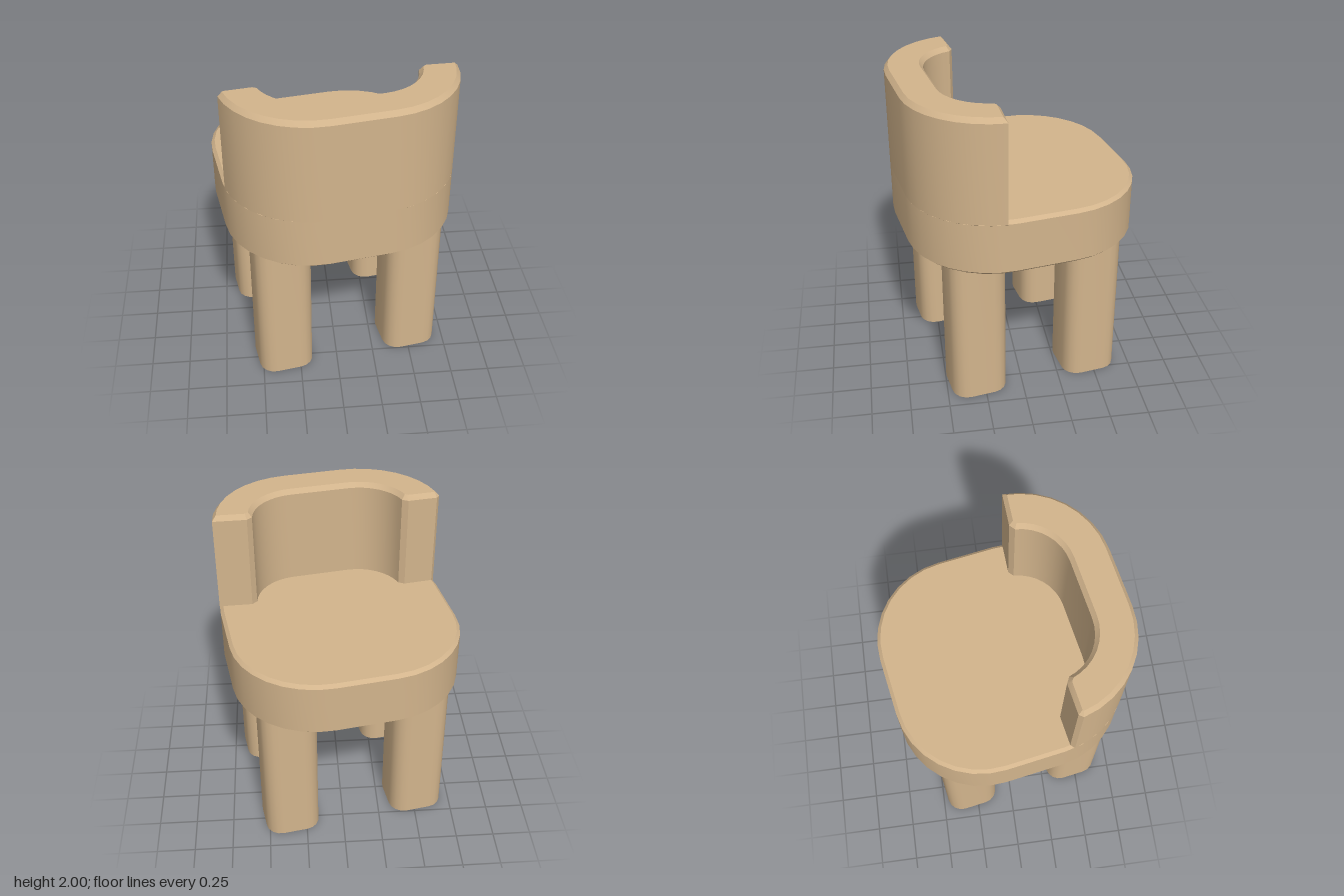
import * as THREE from 'three';
import { toCreasedNormals } from 'three/addons/utils/BufferGeometryUtils.js';

const wood = new THREE.MeshStandardMaterial({ color: 0xd2b48c });

// Plan outline (x, z) raised from y0 to y1, with chamfered rims
function slab(name, shape, y0, y1, rim, inset, curveSegments) {
  const geo = new THREE.ExtrudeGeometry(shape, {
    depth: y1 - y0 - 2 * rim,
    bevelEnabled: rim > 0,
    bevelThickness: rim,
    bevelSize: inset,
    bevelOffset: -inset,
    bevelSegments: 1,
    curveSegments,
  });
  geo.rotateX(Math.PI / 2);
  geo.translate(0, y1 - rim, 0);
  const mesh = new THREE.Mesh(toCreasedNormals(geo, 0.5), wood);
  mesh.name = name;
  return mesh;
}

// Square with rounded corners: s is half the straight edge, r the corner radius
function roundedSquare(s, r) {
  const shape = new THREE.Shape();
  [[s, s], [-s, s], [-s, -s], [s, -s]].forEach(([x, z], i) =>
    shape.absarc(x, z, r, i * Math.PI / 2, (i + 1) * Math.PI / 2, false));
  shape.closePath();
  return shape;
}

const CORNER = 0.19, OUTER = 0.545, INNER = 0.30;

// U-shaped plan that follows the seat's outer edge, with chamfered tips
function backrestShape() {
  const c = CORNER, a = Math.asin(0.06 / OUTER), b = Math.asin(0.06 / INNER), q = Math.PI / 2;
  const shape = new THREE.Shape();
  shape.moveTo(0.71, 0.225);
  shape.absarc(c, c, OUTER, a, q, false);
  shape.absarc(-c, c, OUTER, q, Math.PI - a, false);
  shape.lineTo(-0.71, 0.225);
  shape.lineTo(-0.52, 0.225);
  shape.absarc(-c, c, INNER, Math.PI - b, q, true);
  shape.absarc(c, c, INNER, q, b, true);
  shape.lineTo(0.52, 0.225);
  shape.closePath();
  return shape;
}

export function createModel() {
  const chair = new THREE.Group();
  chair.name = 'chair';

  chair.add(slab('seat', roundedSquare(CORNER, OUTER), 0.985, 1.35, 0.02, 0.022, 4));
  chair.add(slab('backrest', backrestShape(), 1.30, 2, 0.03, 0.025, 4));

  // Four thick legs
  for (const x of [1, -1]) {
    for (const z of [1, -1]) {
      const name = (z > 0 ? 'front' : 'back') + (x > 0 ? 'Left' : 'Right') + 'Leg';
      const leg = slab(name, roundedSquare(0.08, 0.1), 0, 1, 0, 0, 2);
      leg.position.set(x * 0.434, 0, z * 0.385);
      chair.add(leg);
    }
  }

  // The chair stands slightly turned
  chair.rotation.y = THREE.MathUtils.degToRad(10);
  const model = new THREE.Group();
  model.add(chair);
  return model;
}
